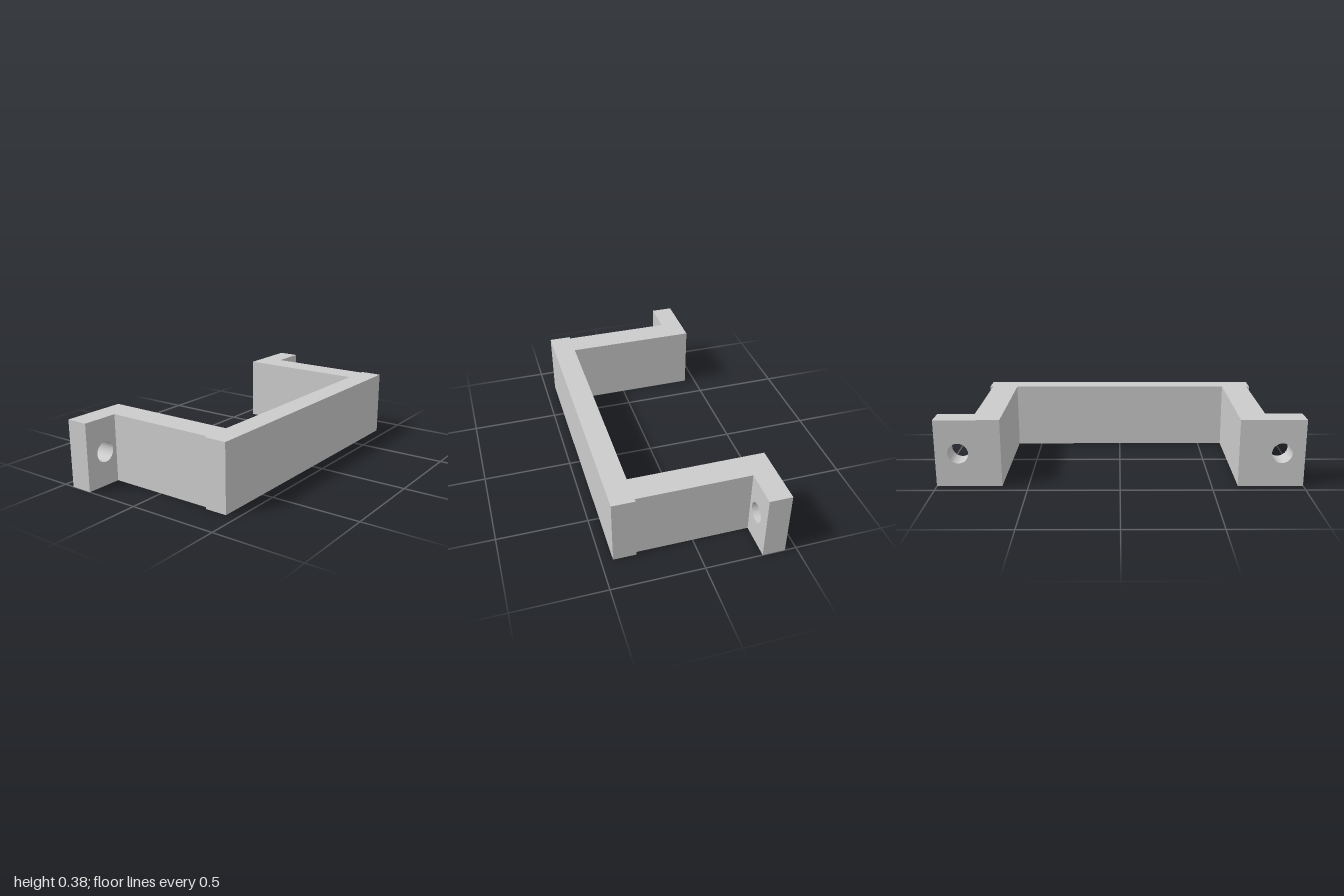
import * as THREE from 'three';
import { toCreasedNormals } from 'three/addons/utils/BufferGeometryUtils.js';

const HEIGHT = 0.375;
const BACK = -0.4375, FRONT = 0.4375, THICK = 0.125;
const LEG_IN = 0.643, LEG_OUT = 0.795, BAR_END = 0.8125;

export function createModel() {
  const group = new THREE.Group();
  group.name = 'bracket';
  const material = new THREE.MeshStandardMaterial({ color: 0xcccccc });

  const add = (name, geometry) => {
    const mesh = new THREE.Mesh(geometry, material);
    mesh.name = name;
    group.add(mesh);
    return mesh;
  };

  // U-shaped body: front bar with slightly overhanging ends and two legs, drawn in plan
  const barBack = FRONT - THICK;
  const half = [
    [LEG_IN, barBack], [LEG_IN, BACK], [LEG_OUT, BACK],
    [LEG_OUT, barBack], [BAR_END, barBack], [BAR_END, FRONT],
  ];
  const outline = [...half, ...half.map(([x, z]) => [-x, z]).reverse()];
  const plan = new THREE.Shape(outline.map(([x, z]) => new THREE.Vector2(x, -z)));
  const body = new THREE.ExtrudeGeometry(plan, { depth: HEIGHT, bevelEnabled: false });
  body.rotateX(-Math.PI / 2);
  add('body', body);

  // Mounting feet: outward tabs with a round screw hole
  const tab = new THREE.Shape([
    new THREE.Vector2(LEG_OUT, 0), new THREE.Vector2(1, 0),
    new THREE.Vector2(1, HEIGHT), new THREE.Vector2(LEG_OUT, HEIGHT),
  ]);
  tab.holes.push(new THREE.Path().absarc(0.875, HEIGHT / 2, 0.056, 0, Math.PI * 2, true));
  const foot = new THREE.ExtrudeGeometry(tab, { depth: THICK, bevelEnabled: false, curveSegments: 32 });
  foot.translate(0, 0, -THICK / 2);
  const footGeometry = toCreasedNormals(foot, 0.6);
  for (const [name, angle] of [['leftFoot', 0], ['rightFoot', Math.PI]]) {
    const mesh = add(name, footGeometry);
    mesh.rotation.y = angle;
    mesh.position.z = BACK + THICK / 2;
  }

  return group;
}
